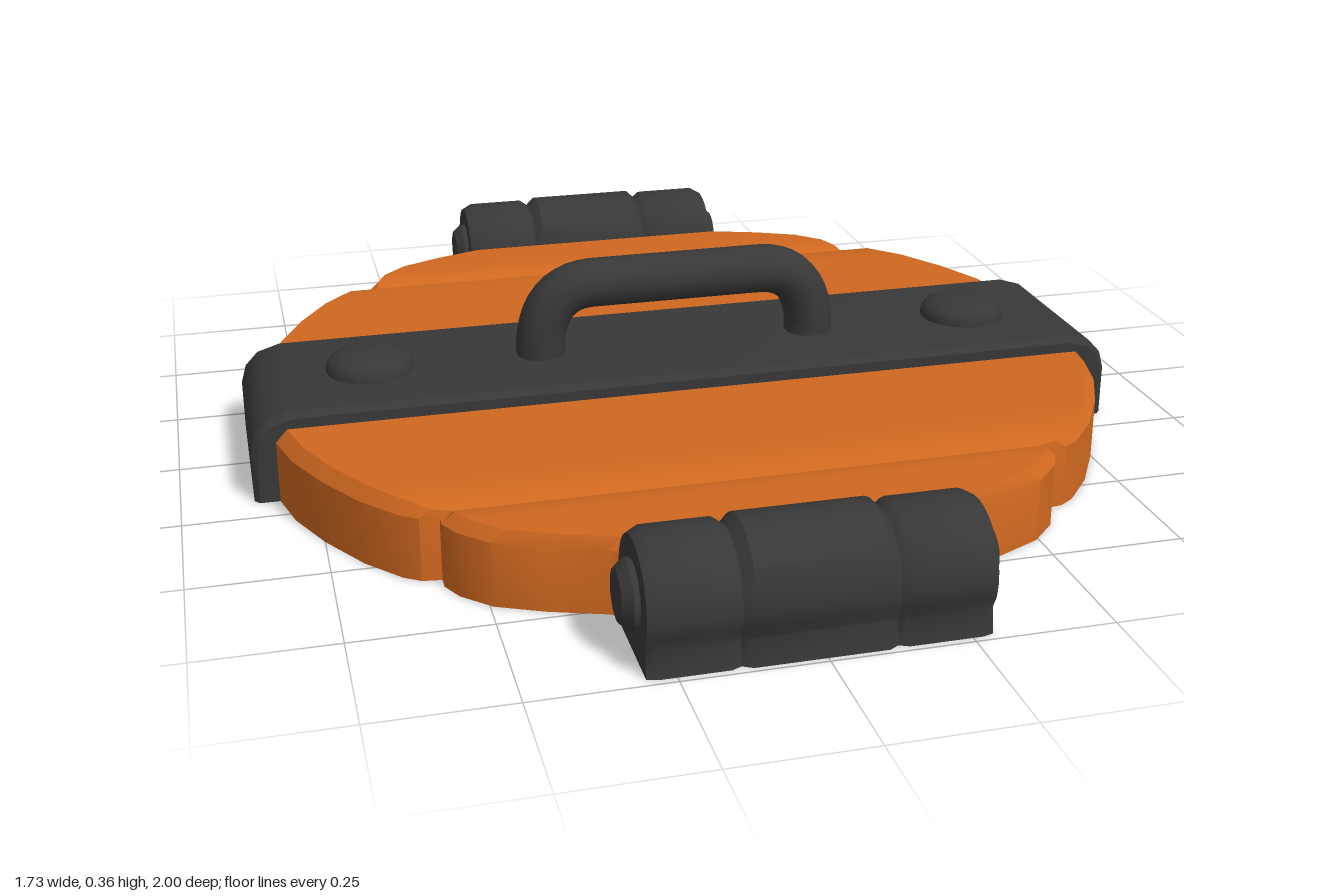
import * as THREE from 'three';
import { toCreasedNormals } from 'three/addons/utils/BufferGeometryUtils.js';

// Skin rows of [x, y, z] points into an open surface
function loft(rows, crease = 0.6) {
  const pos = [];
  for (let i = 0; i < rows.length - 1; i++) {
    for (let j = 0; j < rows[i].length - 1; j++) {
      const a = rows[i][j], b = rows[i][j + 1], c = rows[i + 1][j + 1], d = rows[i + 1][j];
      pos.push(...a, ...d, ...b, ...b, ...d, ...c);
    }
  }
  const geo = new THREE.BufferGeometry();
  geo.setAttribute('position', new THREE.Float32BufferAttribute(pos, 3));
  geo.computeVertexNormals();
  return toCreasedNormals(geo, crease);
}

export function createModel() {
  const wood = new THREE.MeshStandardMaterial({ color: 0xd06820, side: THREE.DoubleSide });
  wood.name = 'orange wood';
  const iron = new THREE.MeshStandardMaterial({ color: 0x383838, side: THREE.DoubleSide });
  iron.name = 'dark iron';

  const model = new THREE.Group();
  model.name = 'hatch';
  function add(name, geo, mat, parent = model) {
    const mesh = new THREE.Mesh(geo, mat);
    mesh.name = name;
    parent.add(mesh);
    return mesh;
  }

  // Lid halves: hollow boards, rows of [z, half width, top height]
  const boardRows = [
    [0.18, 0.82, 0.145], [0.28, 0.795, 0.145], [0.38, 0.75, 0.145], [0.48, 0.69, 0.145],
    [0.55, 0.63, 0.143], [0.57, 0.6, 0.135], [0.575, 0.565, 0.13], [0.6, 0.565, 0.14],
    [0.64, 0.545, 0.143], [0.69, 0.495, 0.143], [0.73, 0.41, 0.143], [0.765, 0.31, 0.143],
    [0.785, 0.28, 0.122], [0.785, 0.28, 0],
  ].map(([z, w, top]) => {
    const edge = Math.min(0.12, top);
    const half = [[w, 0], [w, edge], [w - 0.022, top]];
    const left = half.map(([x, y]) => [-x, y, z]);
    const right = half.map(([x, y]) => [x, y, z]).reverse();
    return [...left, ...right];
  });
  for (const s of [1, -1]) {
    add(s > 0 ? 'frontBoards' : 'backBoards', loft(boardRows, 0.4), wood).scale.z = s;
  }

  // Cross band: U section following the lid over both ends
  const end = [ // outer x, y, inner x, y
    [0.865, 0, 0.815, 0], [0.865, 0.1, 0.81, 0.1], [0.855, 0.135, 0.8, 0.125],
    [0.83, 0.162, 0.79, 0.135], [0.785, 0.176, 0.76, 0.138],
  ];
  const path = [
    ...end.map(([a, b, c, d]) => [-a, b, -c, d]),
    ...end.slice().reverse(),
  ];
  const bandRows = path.map(([x, y, ix, iy]) => {
    const mx = x + (ix - x) * 0.2, my = y + (iy - y) * 0.3;
    return [
      [ix, iy, -0.19], [mx, my, -0.19], [x, y, -0.178],
      [x, y, 0.178], [mx, my, 0.19], [ix, iy, 0.19],
    ];
  });
  add('crossBand', loft(bandRows), iron);

  // Domed rivets
  const dome = [[0.086, 0.165], [0.086, 0.185], [0.078, 0.2], [0.055, 0.212], [0, 0.216]]
    .map(([r, y]) => new THREE.Vector2(r, y));
  for (const s of [1, -1]) {
    add(s > 0 ? 'leftRivet' : 'rightRivet', new THREE.LatheGeometry(dome, 20), iron).position.x = 0.62 * s;
  }

  // Handle: straight legs, rounded corners, straight bar
  const V = (x, y) => new THREE.Vector3(x, y, 0);
  const handlePath = new THREE.CurvePath();
  handlePath.add(new THREE.LineCurve3(V(-0.28, 0.16), V(-0.28, 0.2)));
  handlePath.add(new THREE.QuadraticBezierCurve3(V(-0.28, 0.2), V(-0.27, 0.315), V(-0.17, 0.315)));
  handlePath.add(new THREE.LineCurve3(V(-0.17, 0.315), V(0.17, 0.315)));
  handlePath.add(new THREE.QuadraticBezierCurve3(V(0.17, 0.315), V(0.27, 0.315), V(0.28, 0.2)));
  handlePath.add(new THREE.LineCurve3(V(0.28, 0.2), V(0.28, 0.16)));
  add('handle', new THREE.TubeGeometry(handlePath, 48, 0.049, 14, false), iron);

  // Hinge section: round top with a slightly flared foot, as [z, y]
  const arch = [[-0.105, 0], [-0.102, 0.05]];
  for (let i = 0; i <= 16; i++) {
    const a = Math.PI * (1.1 - 1.2 * i / 16);
    arch.push([Math.cos(a) * 0.11, 0.108 + Math.sin(a) * 0.11]);
  }
  arch.push([0.092, 0.05], [0.1, 0]);

  // Hinge: three knuckles parted by grooves, rows of [x, z scale, y scale]
  const hingeRows = [
    [-0.3, 0, 0.93], [-0.3, 0.92, 0.93], [-0.28, 0.98, 0.98], [-0.16, 0.98, 0.98],
    [-0.143, 0.9, 0.92], [-0.125, 1, 1], [0.105, 1, 1], [0.122, 0.9, 0.92],
    [0.14, 0.98, 0.98], [0.268, 0.98, 0.98], [0.287, 0.92, 0.93], [0.287, 0, 0.93],
  ].map(([x, sz, sy]) => arch.map(([z, y]) => [x, y * sy, z * sz]));

  // Hinge pin with bevelled ends, turned along x
  const pinProfile = [[0, -0.33], [0.045, -0.327], [0.06, -0.31], [0.06, 0.295], [0.045, 0.312], [0, 0.315]]
    .map(([r, y]) => new THREE.Vector2(r, y));
  for (const s of [1, -1]) {
    const hinge = new THREE.Group();
    hinge.name = s > 0 ? 'frontHinge' : 'backHinge';
    hinge.position.z = 0.89 * s;
    hinge.scale.z = s;
    model.add(hinge);
    add('hingeBarrel', loft(hingeRows, 0.7), iron, hinge);
    const pin = add('hingePin', toCreasedNormals(new THREE.LatheGeometry(pinProfile, 16), 0.7), iron, hinge);
    pin.rotation.z = -Math.PI / 2;
    pin.position.y = 0.105;
  }

  return model;
}
